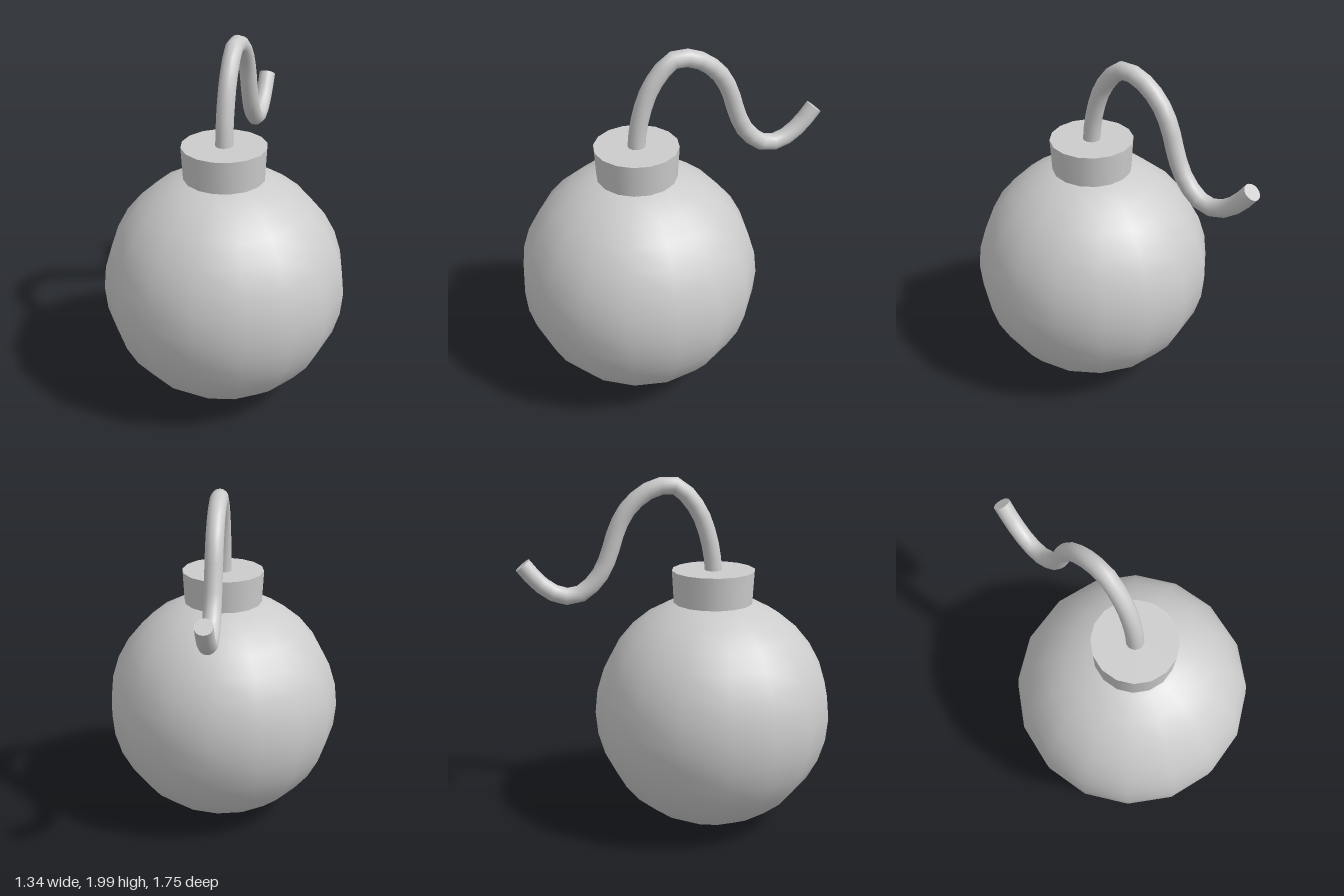
import * as THREE from 'three';

export function createModel() {
  const group = new THREE.Group();
  const material = new THREE.MeshStandardMaterial({ color: 0xcccccc });
  const bodyZ = 0.204;
  const add = (name, geometry, y, z) => {
    const mesh = new THREE.Mesh(geometry, material);
    mesh.name = name;
    mesh.position.set(0, y, z);
    group.add(mesh);
    return mesh;
  };

  // Round body
  add('body', new THREE.SphereGeometry(0.669, 16, 16), 0.672, bodyZ);

  // Slightly flared neck, sunk into the body
  add('neck', new THREE.CylinderGeometry(0.232, 0.216, 0.28, 16), 1.342, bodyZ);

  // Curled fuse: [z, y] points along its centre line
  const path = [
    [0.205, 1.4], [0.203, 1.485], [0.185, 1.62], [0.132, 1.786], [0.063, 1.89],
    [0.005, 1.942], [-0.048, 1.952], [-0.122, 1.937], [-0.2, 1.893], [-0.275, 1.817],
    [-0.328, 1.717], [-0.363, 1.606], [-0.41, 1.49], [-0.472, 1.41], [-0.535, 1.364],
    [-0.59, 1.351], [-0.667, 1.368], [-0.757, 1.431], [-0.841, 1.532],
  ].map(([z, y]) => new THREE.Vector3(0, y, z));
  const curve = new THREE.CatmullRomCurve3(path);
  const radius = 0.048;
  add('fuse', new THREE.TubeGeometry(curve, 24, radius, 16), 0, 0);

  // Flat cut at the end of the fuse
  const tip = curve.getPoint(1);
  const cap = add('fuseTip', new THREE.CircleGeometry(radius, 16), tip.y, tip.z);
  cap.quaternion.setFromUnitVectors(new THREE.Vector3(0, 0, 1), curve.getTangent(1));

  return group;
}
